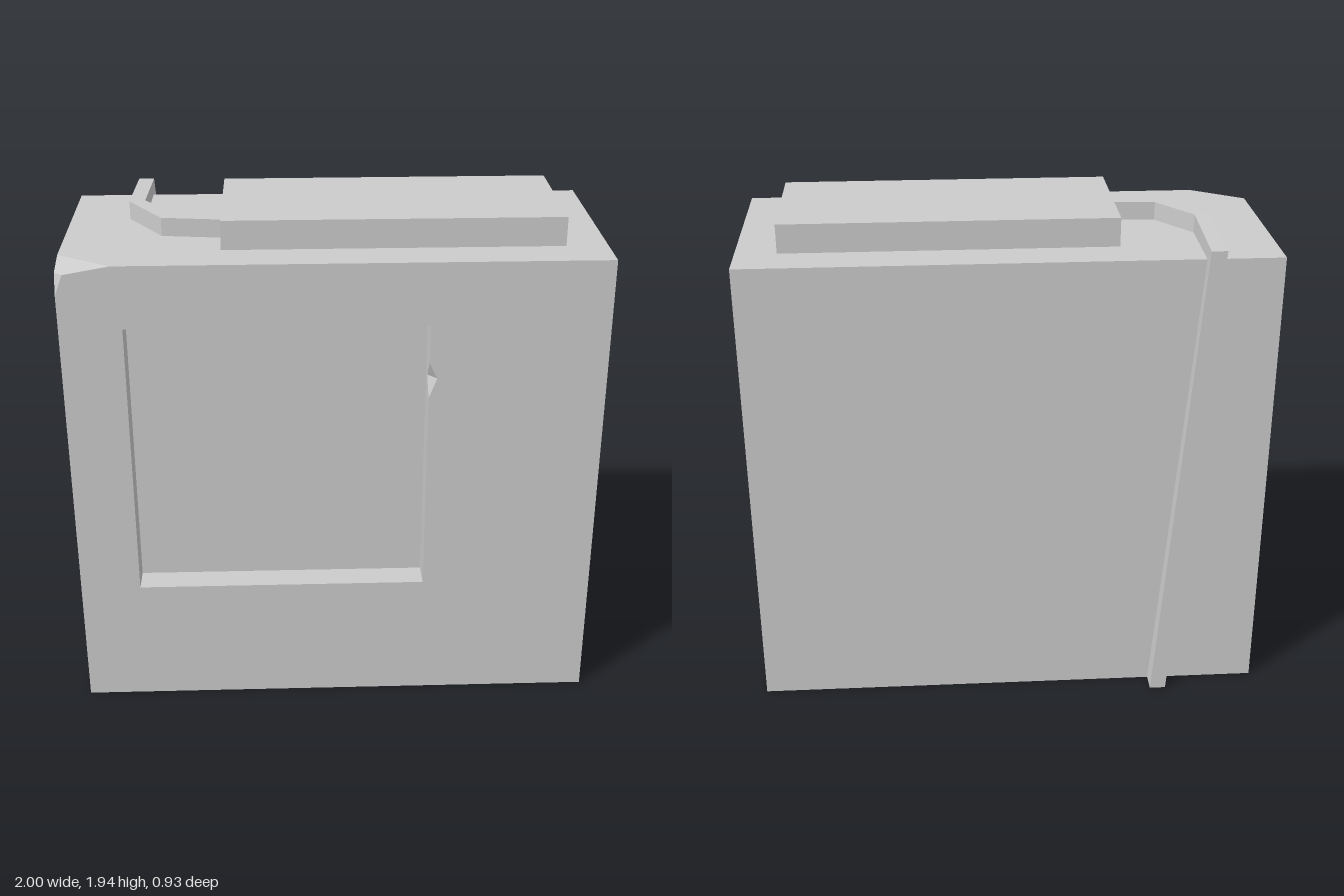
import * as THREE from 'three';

const H = 1.83, FRONT = 0.465, BACK = -0.39;

// Flat-shaded mesh from convex polygons, corners counter-clockwise seen from outside
function polyMesh(name, polygons, material) {
  const pos = [];
  for (const p of polygons) {
    for (let i = 1; i < p.length - 1; i++) {
      const t = new THREE.Triangle(...[p[0], p[i], p[i + 1]].map(c => new THREE.Vector3(...c)));
      if (t.getArea() > 1e-8) pos.push(...p[0], ...p[i], ...p[i + 1]);
    }
  }
  const g = new THREE.BufferGeometry();
  g.setAttribute('position', new THREE.Float32BufferAttribute(pos, 3));
  g.computeVertexNormals();
  const mesh = new THREE.Mesh(g, material);
  mesh.name = name;
  return mesh;
}

// Flat face with an optional hole; map turns (u, v, height) into x, y, z
function flatFace(map, outline, hole = [], w = 0) {
  const vecs = list => list.map(p => new THREE.Vector2(p[0], p[1]));
  const shape = new THREE.Shape(vecs(outline));
  if (hole.length) shape.holes.push(new THREE.Path(vecs(hole)));
  const g = new THREE.ShapeGeometry(shape).toNonIndexed();
  const a = g.attributes.position;
  const tris = [];
  for (let i = 0; i < a.count; i += 3) {
    tris.push([0, 1, 2].map(k => map(a.getX(i + k), a.getY(i + k), w)));
  }
  return tris;
}

// Face with a sunken panel. A rim point may carry a chip: the point on the wall behind it
function recessedFace(map, outline, rim, depth) {
  const columns = rim.map(([u, v, chip]) => {
    const mid = chip || [u, v, 0];
    return [map(u, v, 0), map(...mid), map(mid[0], mid[1], -depth)];
  });
  const polys = flatFace(map, outline, rim);
  polys.push(...flatFace(map, rim.map(([u, v, chip]) => chip || [u, v]), [], -depth));
  columns.forEach((a, i) => {
    const b = columns[(i + 1) % columns.length];
    for (let k = 0; k < 2; k++) polys.push([a[k], b[k], b[k + 1], a[k + 1]]);
  });
  return polys;
}

const rect = (u0, v0, u1, v1) => [[u0, v0], [u1, v0], [u1, v1], [u0, v1]];

export function createModel() {
  const group = new THREE.Group();
  const material = new THREE.MeshStandardMaterial({ color: 0xcccccc });

  // Body: front with a chipped window recess
  const window = [
    [-0.77, 0.5], [0.34, 0.5], [0.34, 1.3],
    [0.37, 1.38, [0.34, 1.365, -0.07]],
    [0.34, 1.44], [0.34, 1.59], [-0.77, 1.59],
  ];
  group.add(polyMesh('frontPanel', recessedFace(
    (u, v, w) => [u, v, FRONT + w],
    [[-1, 0], [1, 0], [1, H], [-0.8, H], [-0.97, 1.8], [-1, 1.72]],
    window, 0.107), material));

  // Sides with tall recesses
  group.add(polyMesh('leftSide', recessedFace(
    (u, v, w) => [1 + w, v, -u],
    rect(-FRONT, 0, -BACK, H), rect(-0.37, 0.14, 0.29, 1.7), 0.125), material));
  group.add(polyMesh('rightSide', recessedFace(
    (u, v, w) => [-1 - w, v, u],
    [[BACK, 0], [FRONT, 0], [FRONT, 1.72], [0.44, 1.8], [0.335, H], [BACK, H]],
    rect(-0.29, 0.14, 0.37, 1.7), 0.125), material));

  // Back, bottom and top
  group.add(polyMesh('backPanel', flatFace((u, v) => [-u, v, BACK], rect(-1, 0, 1, H)), material));
  group.add(polyMesh('bottom', flatFace((u, v) => [u, 0, v], rect(-1, BACK, 1, FRONT)), material));
  group.add(polyMesh('top', flatFace((u, v) => [u, H, -v],
    [[-1, -0.335], [-0.8, -FRONT], [1, -FRONT], [1, -BACK], [-1, -BACK]]), material));

  // Broken-off front corner
  const sideCut = [-1, 1.8, 0.44], frontCut = [-0.97, 1.8, FRONT];
  group.add(polyMesh('chippedCorner', [
    [[-1, H, 0.335], sideCut, frontCut, [-0.8, H, FRONT]],
    [sideCut, [-1, 1.72, FRONT], frontCut],
  ], material));

  // Raised plate on top
  const plate = new THREE.Mesh(new THREE.BoxGeometry(1.26, 0.11, 0.535), material);
  plate.name = 'topPlate';
  plate.position.set(0.215, H + 0.055, 0.037);
  group.add(plate);

  // Cable: square cross-sections from the plate, over the back edge, down to the floor
  const flat = (ox, oz, ix, iz) =>
    [[ox, H, oz], [ox, 1.9, oz], [ix, 1.9, iz], [ix, H, iz]];
  const sections = [
    flat(-0.41, 0.165, -0.41, 0.095),
    flat(-0.64, 0.135, -0.59, 0.08),
    flat(-0.775, -0.075, -0.715, -0.085),
    [[-0.77, H, BACK], [-0.77, 1.88, -0.45], [-0.71, 1.88, -0.45], [-0.71, H, BACK]],
    [[-0.635, 0, BACK], [-0.635, 0, -0.465], [-0.572, 0, -0.465], [-0.572, 0, BACK]],
  ];
  const cable = [sections[sections.length - 1]];
  for (let i = 0; i < sections.length - 1; i++) {
    const a = sections[i], b = sections[i + 1];
    for (let k = 0; k < 4; k++) {
      const n = (k + 1) % 4;
      cable.push([a[k], a[n], b[n], b[k]]);
    }
  }
  group.add(polyMesh('cable', cable, material));

  return group;
}
